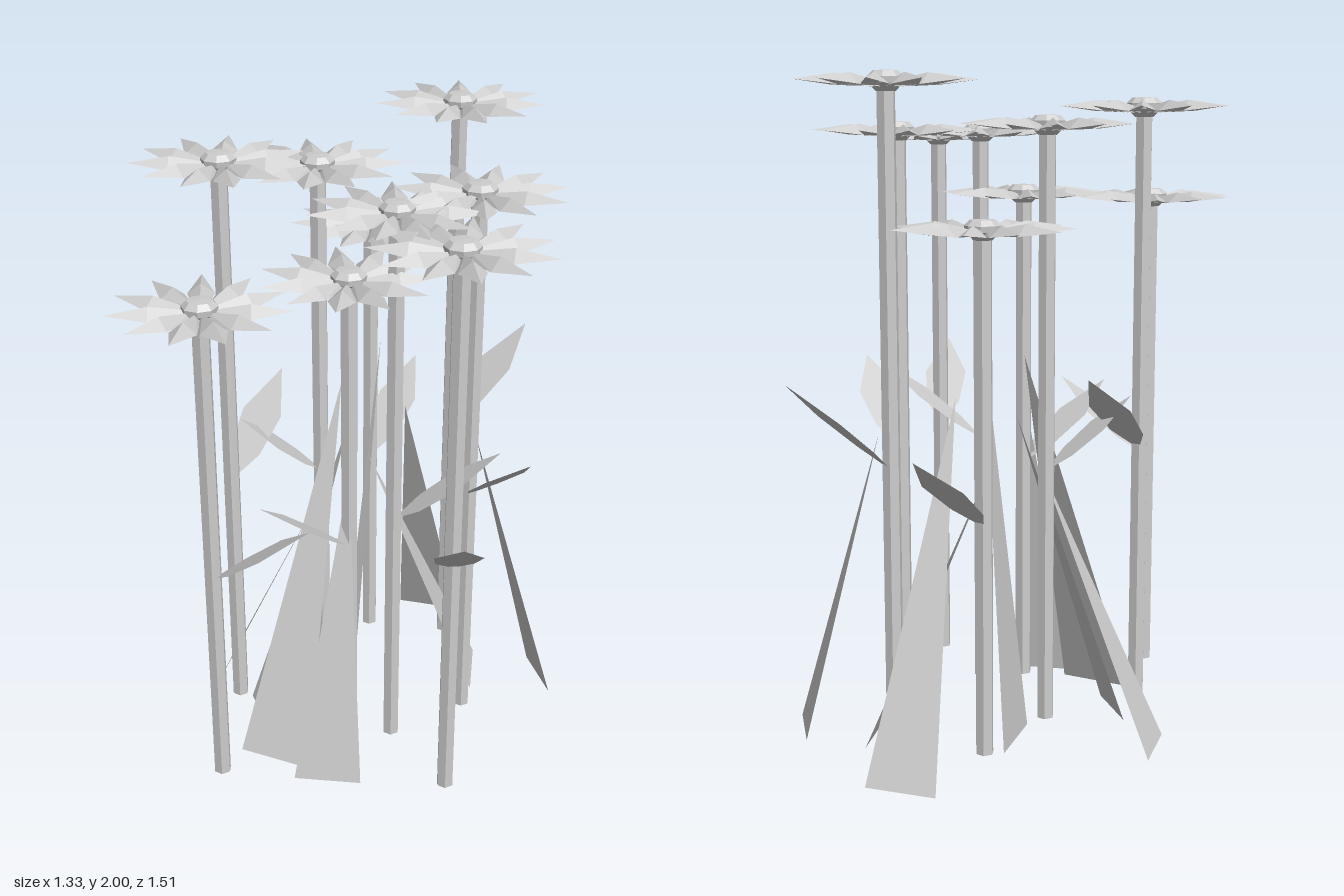
import * as THREE from 'three';

const grey = new THREE.MeshStandardMaterial({ color: 0xcccccc, flatShading: true, side: THREE.DoubleSide });
grey.name = 'plain grey';

// Faceted surface from a few corner points and triangles
function facets(points, triangles) {
  const g = new THREE.BufferGeometry();
  g.setAttribute('position', new THREE.Float32BufferAttribute(points.flat(), 3));
  g.setIndex(triangles.flat());
  const flat = g.toNonIndexed();
  flat.computeVertexNormals();
  return flat;
}

function part(name, geometry) {
  const m = new THREE.Mesh(geometry, grey);
  m.name = name;
  return m;
}

// Petal along +x, folded along a raised midrib
const petalGeometry = facets(
  [[0.03, -0.03, 0], [0.14, -0.009, 0], [0.258, -0.026, 0], [0.145, -0.04, 0.039], [0.145, -0.04, -0.039],
    [0.03, -0.046, 0.012], [0.03, -0.046, -0.012]],
  [[0, 5, 3], [0, 3, 1], [1, 3, 2], [0, 4, 6], [0, 1, 4], [1, 2, 4]]
);

// Button centre with bevelled rim, tapering into the stem
const centreGeometry = new THREE.LatheGeometry(
  [[0, -0.06], [0.027, -0.058], [0.05, -0.035], [0.052, -0.018], [0.036, -0.002], [0, 0]]
    .map(([x, y]) => new THREE.Vector2(x, y)), 8);

function flowerHead(spin) {
  const head = new THREE.Group();
  head.name = 'flowerHead';
  head.add(part('flowerCentre', centreGeometry));
  for (let i = 0; i < 11; i++) {
    const petal = part('petal', petalGeometry);
    petal.rotation.y = spin + (i * Math.PI * 2) / 11;
    head.add(petal);
  }
  return head;
}

// Flat pointed leaf running from the stem to its tip
function leaf(from, to) {
  const a = new THREE.Vector3(...from), b = new THREE.Vector3(...to);
  const side = new THREE.Vector3(b.z - a.z, 0, a.x - b.x).normalize();
  const at = (t, w) => a.clone().lerp(b, t).addScaledVector(side, w).toArray();
  return part('leaf', facets(
    [at(0, 0), at(0.25, 0.055), at(0.6, 0.07), at(1, 0), at(0.6, -0.07), at(0.25, -0.055)],
    [[0, 1, 5], [1, 2, 4], [1, 4, 5], [2, 3, 4]]));
}

// Long grass blade: base corners on the ground and one apex
function blade(b0, b1, apex) {
  return part('grassBlade', facets([[b0[0], 0, b0[1]], [b1[0], 0, b1[1]], apex], [[0, 1, 2]]));
}

export function createModel() {
  const model = new THREE.Group();
  model.name = 'flowerClump';

  // x, z, top height, petal spin, leaf start height, leaf tip
  const flowers = [
    [0.035, -0.47, 1.6, 1.49, 0.73, [0.19, 0.98, -0.76]],
    [0.305, -0.43, 2.0, 1.55, 0.88, [0.56, 1.16, -0.63]],
    [-0.12, -0.18, 1.88, 1.18, 0.83, [-0.37, 1.05, -0.1]],
    [-0.395, -0.03, 1.93, 1.55, 0.87, [-0.25, 1.13, -0.31]],
    [0.35, 0.01, 1.86, 1.3, 0.85, [0.51, 1.1, 0.29]],
    [0.115, 0.17, 1.855, 1.63, 0.85, [0.43, 1.09, 0.19]],
    [-0.415, 0.38, 1.645, 1.66, 0.76, [-0.12, 1.0, 0.51]],
    [0.285, 0.43, 1.84, 1.42, 0.84, [0.3, 1.09, 0.75]],
    [-0.018, 0.195, 1.665, 1.75, 0.77, [-0.27, 1.01, 0.4]],
  ];
  for (const [x, z, top, spin, leafY, tip] of flowers) {
    const flower = new THREE.Group();
    flower.name = 'flower';
    const length = top - 0.09;
    const stem = part('stem', new THREE.CylinderGeometry(0.027, 0.027, length, 6));
    stem.position.set(x, 0.05 + length / 2, z);
    const head = flowerHead(spin);
    head.position.set(x, top, z);
    flower.add(stem, head, leaf([x, leafY, z], tip));
    model.add(flower);
  }

  // Grass blades leaning towards the middle
  const grass = [
    [[-0.37, 0.22], [-0.15, 0.31], [-0.05, 1.17, -0.13]],
    [[-0.19, 0.36], [0.02, 0.38], [-0.02, 1.0, 0.18]],
    [[0.15, -0.68], [0.36, -0.63], [0.15, 1.05, -0.2]],
    [[0.6, -0.32], [0.66, -0.12], [0.38, 0.94, -0.22]],
    [[0.39, -0.13], [0.41, -0.36], [0.03, 0.88, -0.2]],
    [[-0.06, -0.13], [-0.01, -0.36], [0.07, 1.28, -0.21]],
    [[-0.44, -0.37], [-0.48, -0.17], [-0.1, 0.82, -0.1]],
    [[-0.28, 0.13], [-0.36, -0.07], [-0.03, 1.0, -0.18]],
  ];
  for (const g of grass) model.add(blade(...g));
  return model;
}
